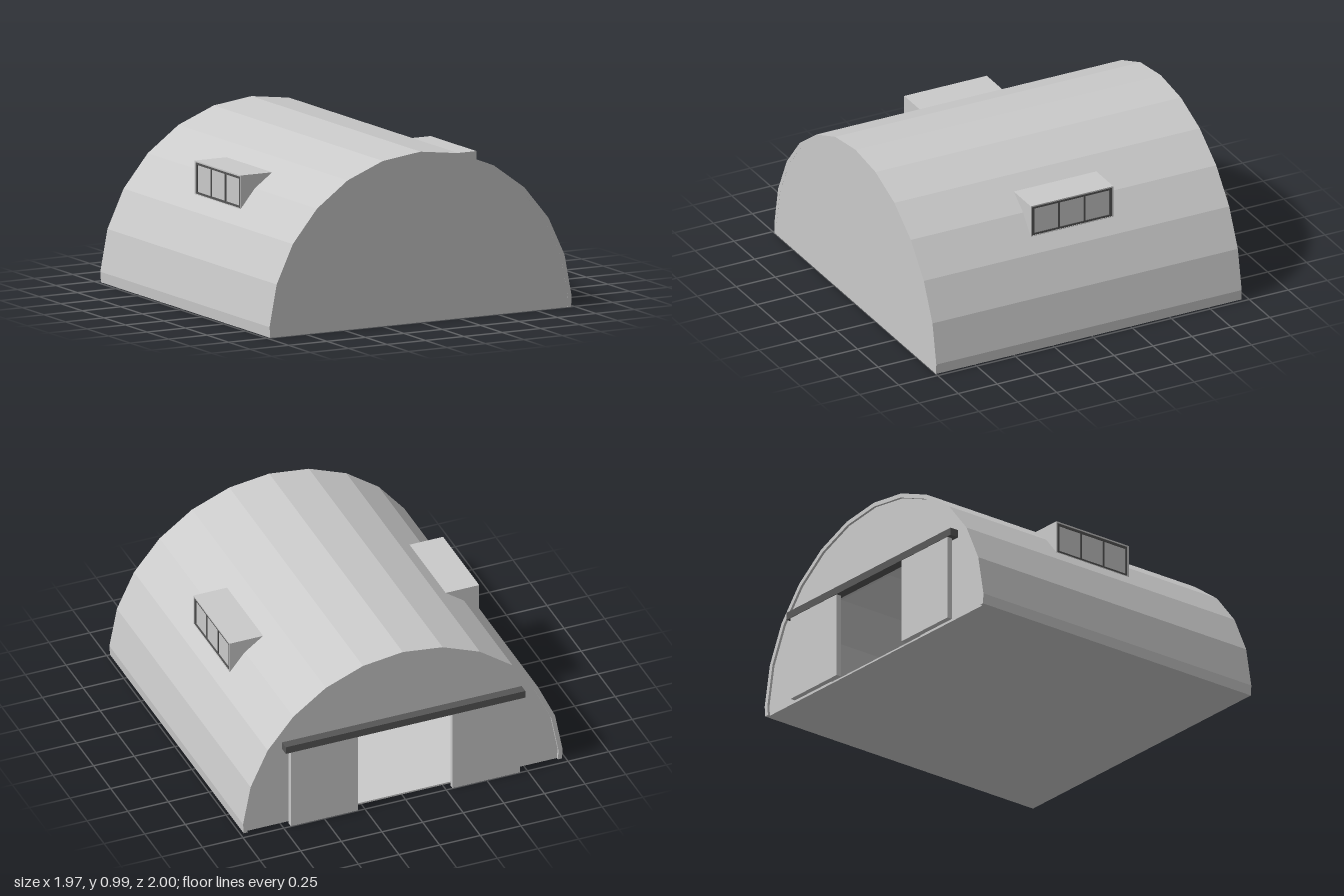
import * as THREE from 'three';

const wallMat = new THREE.MeshStandardMaterial({ name: 'light grey metal', color: 0xcacaca });
const darkMat = new THREE.MeshStandardMaterial({ name: 'dark grey trim', color: 0x565656 });

// Faceted arch outline from +x foot, over the crown, to -x foot
function archPoints(radius) {
  const step = THREE.MathUtils.degToRad(14.4);
  const points = [new THREE.Vector2(radius * 0.994, 0)];
  for (let k = -6; k <= 6; k++) {
    const a = Math.PI / 2 + k * step;
    points.push(new THREE.Vector2(Math.cos(a) * radius, Math.sin(a) * radius));
  }
  points.push(new THREE.Vector2(-radius * 0.994, 0));
  return points;
}

// Extrude a shape between two z positions
function slab(name, shape, z0, z1, material) {
  const geo = new THREE.ExtrudeGeometry(shape, { depth: z1 - z0, bevelEnabled: false });
  geo.translate(0, 0, z0);
  const mesh = new THREE.Mesh(geo, material);
  mesh.name = name;
  return mesh;
}

// Box given by its minimum and maximum corners
function box(name, [x0, y0, z0], [x1, y1, z1], material) {
  const mesh = new THREE.Mesh(new THREE.BoxGeometry(x1 - x0, y1 - y0, z1 - z0), material);
  mesh.position.set((x0 + x1) / 2, (y0 + y1) / 2, (z0 + z1) / 2);
  mesh.name = name;
  return mesh;
}

const rect = (x0, y0, x1, y1) => [
  new THREE.Vector2(x0, y0), new THREE.Vector2(x1, y0),
  new THREE.Vector2(x1, y1), new THREE.Vector2(x0, y1),
];

// Flat frame on the dormer face, with rectangular openings
function faceFrame(name, outer, holes, depth, material) {
  const shape = new THREE.Shape(rect(...outer));
  holes.forEach((h) => shape.holes.push(new THREE.Path(rect(...h))));
  const mesh = slab(name, shape, 0, depth, material);
  mesh.rotation.y = Math.PI / 2;
  mesh.position.x = 0.76;
  return mesh;
}

// Side dormer with a three-pane window, facing +x
function createDormer() {
  const dormer = new THREE.Group();
  const half = 0.265;
  const profile = new THREE.Shape([
    [0.56, 0.8], [0.56, 0.785], [0.66, 0.712], [0.752, 0.606], [0.76, 0.606], [0.76, 0.8],
  ].map(([x, y]) => new THREE.Vector2(x, y)));
  dormer.add(slab('dormerBody', profile, -half, half, wallMat));
  dormer.add(faceFrame('dormerRim', [-half, 0.606, half, 0.8],
    [[-half + 0.008, 0.61, half - 0.008, 0.792]], 0.008, wallMat));

  const panes = [];
  const inner = half - 0.024;
  const pitch = (inner * 2 + 0.01) / 3;
  for (let i = 0; i < 3; i++) {
    const x = -inner + i * pitch;
    panes.push([x, 0.622, x + pitch - 0.01, 0.778]);
  }
  dormer.add(faceFrame('windowFrame', [-half + 0.008, 0.608, half - 0.008, 0.792], panes, 0.005, darkMat));
  return dormer;
}

export function createModel() {
  const model = new THREE.Group();
  model.name = 'archedHangar';
  const outer = archPoints(0.985);
  const inner = archPoints(0.96);

  // Vaulted roof shell
  const shell = new THREE.Shape([...outer, ...inner.slice().reverse()]);
  model.add(slab('roofShell', shell, -0.96, 1, wallMat));

  // Closed front wall, back wall with doorway, and floor
  model.add(slab('frontWall', new THREE.Shape(inner), 0.975, 0.9995, wallMat));
  const doorway = [[-0.4, 0], [-0.4, 0.51], [0.4, 0.51], [0.4, 0]]
    .map(([x, y]) => new THREE.Vector2(x, y));
  model.add(slab('backWall', new THREE.Shape([...inner, ...doorway]), -0.945, -0.92, wallMat));
  model.add(box('floor', [-0.955, 0, -0.945], [0.955, 0.01, 0.975], wallMat));

  // Sliding doors hung from a rail
  model.add(box('doorRail', [-0.737, 0.505, -1], [0.737, 0.55, -0.945], darkMat));
  for (const side of [1, -1]) {
    const x0 = side > 0 ? 0.29 : -0.705;
    model.add(box(side > 0 ? 'leftDoor' : 'rightDoor',
      [x0, 0, -0.997], [x0 + 0.415, 0.506, -0.965], wallMat));

    const dormer = createDormer();
    dormer.name = side > 0 ? 'leftDormer' : 'rightDormer';
    dormer.rotation.y = side > 0 ? 0 : Math.PI;
    dormer.position.z = 0.015;
    model.add(dormer);
  }
  return model;
}
